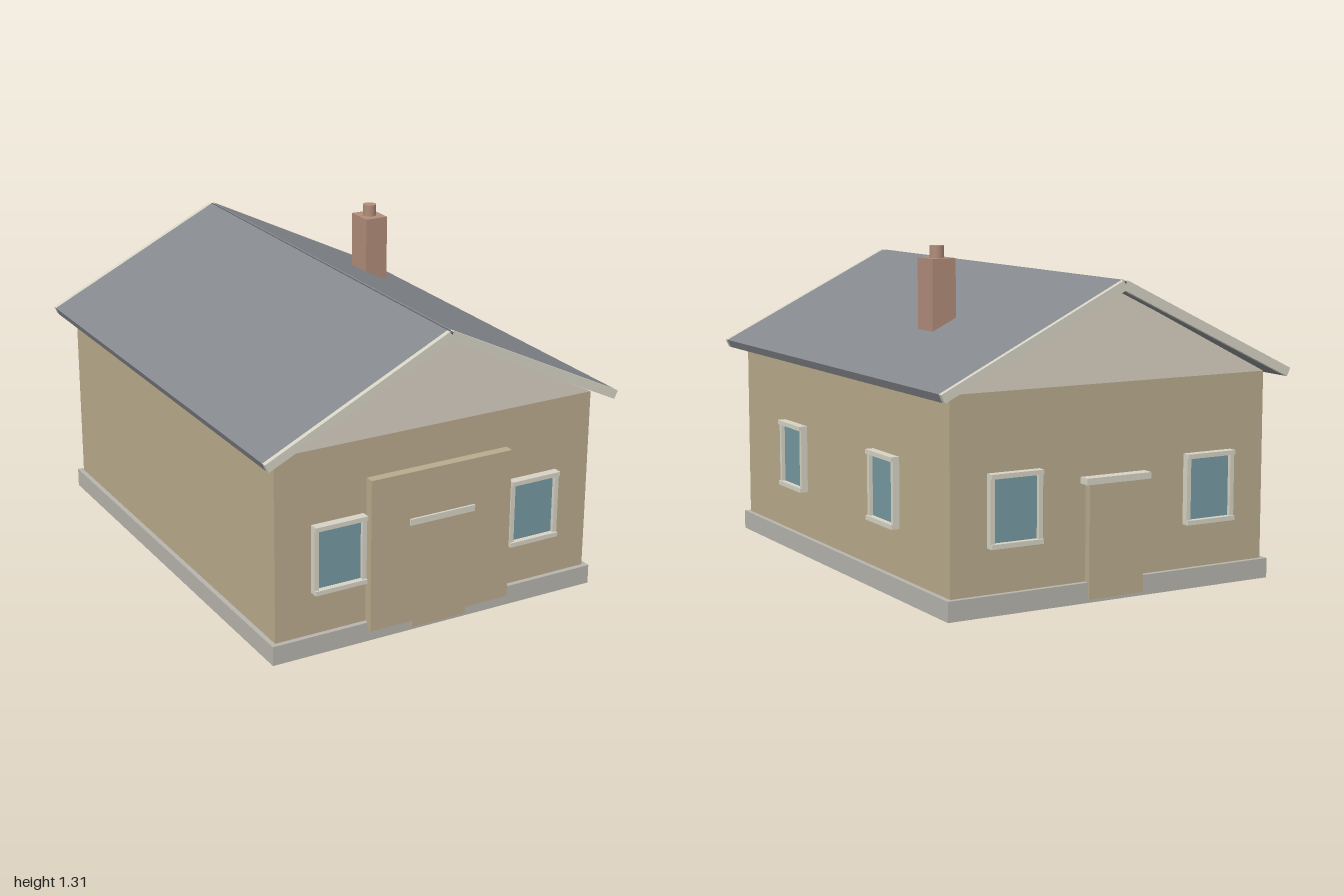
import * as THREE from 'three';

const material = (color) => new THREE.MeshStandardMaterial({ color });
const wallMat = material(0xb9aa8c);
const gableMat = material(0xd8d0c2);
const trimMat = material(0xd6d2c4);
const baseMat = material(0xb6b4ac);
const roofMat = material(0x85888d);
const ridgeMat = material(0x5c5f63);
const glassMat = material(0x7799a2);
const brickMat = material(0xb08c7a);

function add(parent, name, geometry, mat) {
  const mesh = new THREE.Mesh(geometry, mat);
  mesh.name = name;
  parent.add(mesh);
  return mesh;
}

// Box given by its lower and upper corners
function box(parent, name, mat, [x0, y0, z0], [x1, y1, z1]) {
  const mesh = add(parent, name, new THREE.BoxGeometry(x1 - x0, y1 - y0, z1 - z0), mat);
  mesh.position.set((x0 + x1) / 2, (y0 + y1) / 2, (z0 + z1) / 2);
  return mesh;
}

// Profile in x, y extruded from z0 to z1
function prism(parent, name, mat, points, z0, z1) {
  const shape = new THREE.Shape(points.map(([x, y]) => new THREE.Vector2(x, y)));
  const geometry = new THREE.ExtrudeGeometry(shape, { depth: z1 - z0, bevelEnabled: false });
  geometry.translate(0, 0, z0);
  return add(parent, name, geometry, mat);
}

// Framed window facing +z, its back on z = 0
function makeWindow() {
  const g = new THREE.Group();
  g.name = 'window';
  const w = 0.11, h = 0.1375, t = 0.018;
  box(g, 'windowGlass', glassMat, [-w + t, -h + t, -0.01], [w - t, h - t, 0.012]);
  for (const s of [-1, 1]) {
    const jamb = box(g, 'windowJamb', trimMat, [-t / 2, -h + t, -0.01], [t / 2, h - t, 0.027]);
    jamb.position.x = s * (w - t / 2);
    const rail = box(g, 'windowRail', trimMat, [-w, -t / 2, -0.01], [w, t / 2, 0.035]);
    rail.position.y = s * (h - t / 2);
  }
  return g;
}

// Door with lintel facing +z, its back on z = 0
function makeDoor() {
  const g = new THREE.Group();
  g.name = 'door';
  box(g, 'doorLeaf', wallMat, [-0.12, 0.015, -0.01], [0.12, 0.45, 0.03]);
  box(g, 'doorLintel', trimMat, [-0.142, 0.452, -0.01], [0.142, 0.477, 0.047]);
  return g;
}

export function createModel() {
  const house = new THREE.Group();
  house.name = 'house';
  const W = 0.692, D = 0.925;

  // Foundation, walls and gable block
  box(house, 'foundation', baseMat, [-0.712, 0, -0.945], [0.712, 0.078, 0.945]);
  box(house, 'walls', wallMat, [-W, 0.07, -D], [W, 0.82, D]);
  prism(house, 'gable', gableMat, [[-W, 0.82], [W, 0.82], [0, 1.17]], -D, D);

  // Roof slopes with pale bargeboards at both ends
  for (const s of [-1, 1]) {
    const slope = [[0, 1.19], [0.008, 1.204], [0.765, 0.835], [0.75, 0.803], [0, 1.166]]
      .map(([x, y]) => [s * x, y]);
    prism(house, 'roofSlope', roofMat, slope, -0.98, 0.98);
    prism(house, 'bargeboardFront', trimMat, slope, 0.98, 1);
    prism(house, 'bargeboardBack', trimMat, slope, -1, -0.98);
  }
  prism(house, 'ridge', ridgeMat, [[-0.007, 1.2], [0, 1.186], [0.007, 1.2]], -1, 1);

  // Windows and doors on the front and back walls
  for (const side of [-1, 1]) {
    const wall = new THREE.Group();
    wall.name = side > 0 ? 'frontOpenings' : 'backOpenings';
    wall.rotation.y = side > 0 ? 0 : Math.PI;
    for (const s of [-1, 1]) {
      const win = makeWindow();
      win.position.set(s * 0.43, 0.388, D);
      wall.add(win);
    }
    const door = makeDoor();
    door.position.z = D;
    wall.add(door);
    house.add(wall);
  }

  // Large front panel
  box(house, 'frontPanel', wallMat, [-0.308, 0.048, 0.92], [0.308, 0.665, 0.963]);

  // Windows on one long wall
  for (const z of [-0.418, 0.418]) {
    const win = makeWindow();
    win.rotation.y = Math.PI / 2;
    win.position.set(W, 0.402, z);
    house.add(win);
  }

  // Chimney
  box(house, 'chimney', brickMat, [0.364, 0.96, -0.37], [0.465, 1.26, -0.248]);
  const pot = add(house, 'chimneyPot', new THREE.CylinderGeometry(0.028, 0.028, 0.06, 24), brickMat);
  pot.position.set(0.414, 1.277, -0.309);

  return house;
}
